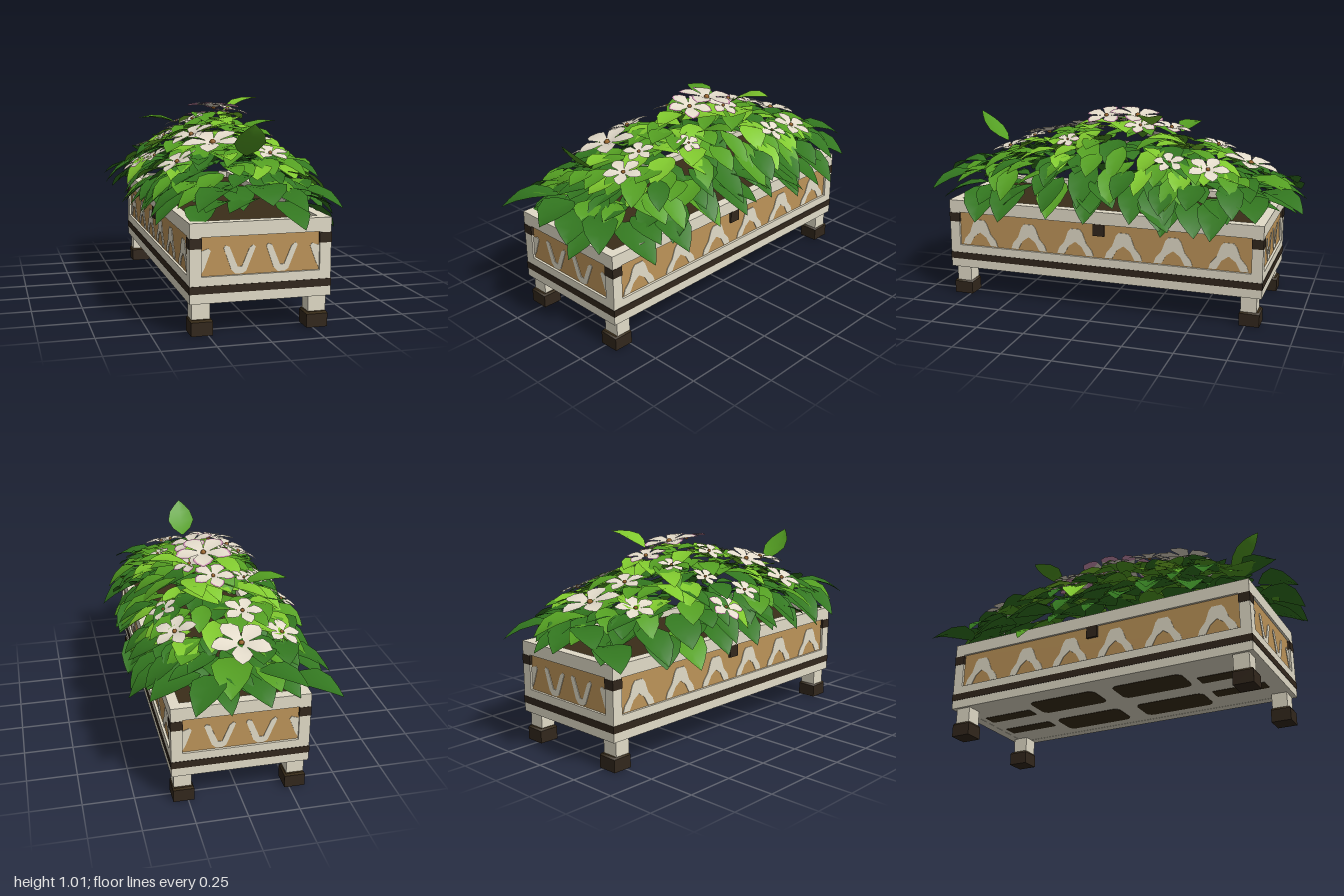
import * as THREE from 'three';
import { mergeGeometries } from 'three/addons/utils/BufferGeometryUtils.js';

const material = (name, color, side = THREE.FrontSide) => {
  const m = new THREE.MeshStandardMaterial({ color, side });
  m.name = name;
  return m;
};
const V = (x, y, z) => new THREE.Vector3(x, y, z);

// small seeded random generator
function makeRandom(seed) {
  return () => {
    seed = (seed * 16807) % 2147483647;
    return seed / 2147483647;
  };
}

// folded, arched blade from base to tip, built from cross-sections
const LEAF = [[0, 0.08], [0.18, 0.68], [0.42, 1], [0.68, 0.8], [0.86, 0.4], [1, 0]];
const PETAL = [[0, 0.12], [0.32, 0.62], [0.6, 1], [0.84, 0.66], [1, 0]];
const PETAL_TIP = [[0.55, 1.05], [0.66, 1.12], [0.86, 0.76], [1, 0]];
function blade(base, tip, halfWidth, stations = LEAF, bow = 0.08, fold = 0.2, up = V(0, 1, 0)) {
  const d = tip.clone().sub(base), len = d.length();
  const s = d.clone().cross(up).normalize();
  const n = s.clone().cross(d).normalize();
  const pos = [], index = [];
  stations.forEach(([t, w], i) => {
    for (const k of [-1, 0, 1]) {
      const p = base.clone().addScaledVector(d, t)
        .addScaledVector(n, bow * len * Math.sin(Math.PI * t) + Math.abs(k) * fold * w * halfWidth)
        .addScaledVector(s, k * w * halfWidth);
      pos.push(p.x, p.y, p.z);
    }
    if (i === 0) return;
    for (const k of [0, 1]) {
      const a = (i - 1) * 3 + k, b = i * 3 + k;
      index.push(a, a + 1, b + 1, a, b + 1, b);
    }
  });
  const g = new THREE.BufferGeometry();
  g.setAttribute('position', new THREE.Float32BufferAttribute(pos, 3));
  g.setIndex(index);
  g.computeVertexNormals();
  return g;
}

// rounded cushion outline of the foliage
const reach = (x, z) => Math.cbrt(Math.abs(x / 0.48) ** 3 + Math.abs(z / 1.0) ** 3);
const domeHeight = (x, z) => 0.55 + 0.4 * (1 - Math.min(1.1, reach(x, z)) ** 1.35);

export function createModel() {
  const model = new THREE.Group();
  model.name = 'flowerPlanter';
  const cream = material('creamPaint', 0xe2dcc8);
  const tan = material('tanPanel', 0xbd9459);
  const dark = material('darkWood', 0x32271c);
  const soilMat = material('soil', 0x3a2d19);
  const darkLeaf = material('darkGreenLeaf', 0x32761f, THREE.DoubleSide);
  const midLeaf = material('midGreenLeaf', 0x549f22, THREE.DoubleSide);
  const lightLeaf = material('lightGreenLeaf', 0x80c92e, THREE.DoubleSide);
  const petalMat = material('petalWhite', 0xe4dccb, THREE.DoubleSide);
  const pinkMat = material('petalPink', 0xd295b8, THREE.DoubleSide);
  const coreMat = material('flowerCentre', 0x9a6428);

  const planter = new THREE.Group();
  planter.name = 'planter';
  planter.position.set(-0.003, 0, 0.01);
  model.add(planter);
  const add = (name, geo, mat, parent = planter) => {
    const m = new THREE.Mesh(geo, mat);
    m.name = name;
    parent.add(m);
    return m;
  };
  const box = (name, mat, w, h, d, x, y, z) =>
    add(name, new THREE.BoxGeometry(w, h, d), mat).position.set(x, y, z);

  // rectangular hoop around the planter
  const HX = 0.335, HZ = 0.84;
  const hoop = (name, mat, y0, y1, grow, thick) => {
    const rect = (C, a, b) => {
      const p = new C();
      p.moveTo(-a, -b); p.lineTo(a, -b); p.lineTo(a, b); p.lineTo(-a, b); p.closePath();
      return p;
    };
    const a = HX + grow, b = HZ + grow;
    const shape = rect(THREE.Shape, a, b);
    shape.holes.push(rect(THREE.Path, a - thick, b - thick));
    const g = new THREE.ExtrudeGeometry(shape, { depth: y1 - y0, bevelEnabled: false });
    g.rotateX(-Math.PI / 2).translate(0, y0, 0);
    add(name, g, mat);
  };
  hoop('lowerFrame', cream, 0.152, 0.275, 0, 0.05);
  hoop('darkBand', dark, 0.197, 0.233, 0.002, 0.03);
  hoop('sidePanels', tan, 0.27, 0.46, -0.012, 0.03);
  hoop('upperRim', cream, 0.455, 0.52, 0, 0.05);
  box('floor', cream, 0.64, 0.02, 1.65, 0, 0.163, 0);
  box('soil', soilMat, 0.58, 0.03, 1.59, 0, 0.47, 0);

  // rounded vent plate for the underside
  const vent = (w, l, r) => {
    const s = new THREE.Shape();
    s.absarc(w - r, l - r, r, 0, Math.PI / 2);
    s.absarc(r - w, l - r, r, Math.PI / 2, Math.PI);
    s.absarc(r - w, r - l, r, Math.PI, Math.PI * 1.5);
    s.absarc(w - r, r - l, r, Math.PI * 1.5, Math.PI * 2);
    return new THREE.ExtrudeGeometry(s, { depth: 0.003, bevelEnabled: false, curveSegments: 4 }).rotateX(Math.PI / 2);
  };
  const wideVent = vent(0.085, 0.19, 0.035), slimVent = vent(0.04, 0.14, 0.01);

  // corner posts, brackets, legs, feet and vents
  for (const sx of [-1, 1]) for (const sz of [-1, 1]) {
    box('cornerPost', cream, 0.055, 0.2, 0.055, sx * (HX - 0.0275), 0.365, sz * (HZ - 0.0275));
    box('cornerBracket', dark, 0.058, 0.048, 0.058, sx * (HX - 0.0275), 0.427, sz * (HZ - 0.0275));
    box('leg', cream, 0.086, 0.1, 0.08, sx * 0.278, 0.11, sz * 0.775);
    box('foot', dark, 0.102, 0.064, 0.102, sx * 0.275, 0.032, sz * 0.78);
    const cap = new THREE.CylinderGeometry(0.064, 0.072, 0.01, 4);
    cap.rotateY(Math.PI / 4);
    add('footTop', cap, soilMat).position.set(sx * 0.275, 0.069, sz * 0.78);
    add('underVent', wideVent, soilMat).position.set(sx * 0.14, 0.154, sz * 0.24);
    add('underStrip', slimVent, soilMat).position.set(sx * 0.1, 0.154, sz * 0.62);
  }
  for (const sx of [-1, 1]) box('middleBracket', dark, 0.02, 0.062, 0.06, sx * (HX - 0.009), 0.425, 0);

  // painted zigzags on the panels
  const plate = points => new THREE.ExtrudeGeometry(
    new THREE.Shape(points.map(p => new THREE.Vector2(...p))), { depth: 0.004, bevelEnabled: false });
  const vee = x => plate([[x - 0.075, 0.4], [x - 0.067, 0.412], [x - 0.048, 0.405], [x - 0.01, 0.312],
    [x + 0.01, 0.312], [x + 0.045, 0.395], [x + 0.064, 0.41], [x + 0.075, 0.4],
    [x + 0.03, 0.29], [x + 0.012, 0.28], [x - 0.02, 0.28], [x - 0.04, 0.3]]);
  const arch = x => plate([[x - 0.1, 0.28], [x - 0.09, 0.31], [x - 0.06, 0.345], [x - 0.04, 0.4],
    [x - 0.025, 0.418], [x + 0.025, 0.418], [x + 0.04, 0.4], [x + 0.06, 0.345], [x + 0.09, 0.31],
    [x + 0.1, 0.28], [x + 0.06, 0.28], [x + 0.035, 0.325], [x, 0.35], [x - 0.035, 0.325], [x - 0.06, 0.28]]);
  const endStroke = s => {
    const pts = [[0.28, 0.285], [0.28, 0.39], [0.245, 0.402], [0.235, 0.39], [0.265, 0.31]].map(([x, y]) => [s * x, y]);
    return plate(s < 0 ? pts.reverse() : pts);
  };
  const endPaint = mergeGeometries([vee(-0.1), vee(0.1), endStroke(-1), endStroke(1)]);
  const sidePaint = mergeGeometries([-0.67, -0.39, -0.13, 0.13, 0.39, 0.67].map(arch));
  for (const i of [0, 1]) {
    const end = add('endZigzag', endPaint, cream);
    end.rotation.y = i * Math.PI;
    end.position.z = (i ? -1 : 1) * (HZ - 0.013);
    const side = add('sideZigzag', sidePaint, cream);
    side.rotation.y = (i ? -1 : 1) * Math.PI / 2;
    side.position.x = (i ? -1 : 1) * (HX - 0.013);
  }

  // foliage
  const plant = new THREE.Group();
  plant.name = 'plant';
  model.add(plant);
  const rand = makeRandom(4711);
  const spread = a => (rand() * 2 - 1) * a;
  const leaves = { dark: [], mid: [], light: [] };

  // hanging outer leaves, by tip position seen from above
  const tips = [[-0.47, -0.9], [-0.5, -0.63], [-0.3, -0.9], [-0.1, -0.98], [0.08, -0.95], [0.25, -1], [0.42, -0.8],
    [0.49, -0.6], [0.46, -0.35], [0.42, -0.18], [0.45, 0.05], [0.45, 0.25], [0.48, 0.5], [0.42, 0.66],
    [0.35, 0.94], [0.17, 0.98], [0, 1], [-0.33, 0.98], [-0.38, 0.8], [-0.48, 0.68], [-0.49, 0.52],
    [-0.45, 0.37], [-0.44, 0.2], [-0.47, 0.04], [-0.46, -0.17], [-0.45, -0.36]];
  tips.forEach(([x, z], i) => {
    const out = V(x * 0.9, 0, z - THREE.MathUtils.clamp(z, -0.72, 0.72)).normalize();
    const atEnd = Math.abs(z) > 0.75;
    const tip = V(x, (atEnd ? 0.58 : 0.48) + spread(0.06), z);
    const base = tip.clone().addScaledVector(out, -0.26).add(V(0, atEnd ? 0.06 : 0.14, spread(0.06)));
    leaves[i % 7 === 4 ? 'mid' : 'dark'].push(blade(base, tip, 0.088 + spread(0.012), LEAF, 0.12));
  });

  // layers of leaves over the cushion: [count, drop, length, half width]
  for (const [count, drop, size, width] of [[70, 0.1, 0.23, 0.08], [150, 0.01, 0.18, 0.06]]) {
    for (let i = 0; i < count; i++) {
      const r = 0.95 * Math.sqrt((i + 0.5) / count), a = i * 2.39996;
      const c = Math.cos(a), s = Math.sin(a);
      const x = Math.sign(c) * Math.abs(c) ** 0.7 * r * 0.34;
      const z = Math.sign(s) * Math.abs(s) ** 0.7 * r * 0.8;
      // free direction in the middle, outward near the rim
      const dir = Math.atan2(z * 0.6, x * 1.3) + spread(r < 0.5 ? 3.1 : 1);
      const l = size * (1 + spread(0.2));
      const tx = THREE.MathUtils.clamp(x + Math.cos(dir) * l, -0.47, 0.47);
      const tz = THREE.MathUtils.clamp(z + Math.sin(dir) * l, -0.97, 0.97);
      const baseY = domeHeight(x, z) - drop - 0.015 + spread(0.02);
      const tipY = THREE.MathUtils.lerp(domeHeight(tx, tz) - drop, baseY, 0.3) + spread(0.04);
      const pick = rand() + (drop > 0.05 ? 0.6 : 0) + r * 0.65;
      leaves[pick > 1.2 ? 'dark' : pick > 0.65 ? 'mid' : 'light']
        .push(blade(V(x, baseY, z), V(tx, tipY, tz), width * (1 + spread(0.2))));
    }
  }

  // leaves standing out from the cushion
  leaves.mid.push(blade(V(-0.02, 0.79, 0.66), V(-0.03, 0.95, 0.82), 0.075, LEAF, -0.08),
    blade(V(0.1, 0.83, 0.06), V(0.33, 0.9, 0.04), 0.07),
    blade(V(-0.14, 0.87, -0.3), V(-0.35, 0.9, -0.34), 0.06));
  leaves.light.push(blade(V(0.1, 0.94, -0.2), V(0.32, 1.01, -0.24), 0.065));

  add('darkLeaves', mergeGeometries(leaves.dark), darkLeaf, plant);
  add('midLeaves', mergeGeometries(leaves.mid), midLeaf, plant);
  add('lightLeaves', mergeGeometries(leaves.light), lightLeaf, plant);

  // five-petalled flowers: x, z, radius, pink edge
  const flowers = [[-0.03, -0.69, 0.15, 0], [-0.25, -0.6, 0.1, 0], [-0.08, -0.51, 0.1, 0], [0.25, -0.53, 0.11, 0],
    [0.27, -0.34, 0.08, 0], [0.01, -0.28, 0.1, 1], [-0.15, -0.26, 0.07, 0], [-0.39, -0.12, 0.09, 1],
    [-0.25, -0.12, 0.07, 0], [0.02, -0.1, 0.14, 1], [0.05, 0.06, 0.11, 1], [-0.13, 0.04, 0.08, 0],
    [-0.34, 0.08, 0.08, 0], [-0.19, 0.27, 0.12, 0], [0.2, 0.22, 0.06, 1], [-0.3, 0.44, 0.11, 0],
    [-0.13, 0.46, 0.15, 0], [0.09, 0.45, 0.08, 0], [0.12, 0.58, 0.1, 0], [0.1, -0.14, 0.08, 1]];
  const petals = [], edges = [], cores = [];
  for (const [x, z, radius, pink] of flowers) {
    const e = 0.03;
    const normal = V(0.6 * (domeHeight(x - e, z) - domeHeight(x + e, z)) / (2 * e), 1,
      0.6 * (domeHeight(x, z - e) - domeHeight(x, z + e)) / (2 * e)).normalize();
    const centre = V(x, domeHeight(x, z) + 0.035, z);
    const u = V(0, 0, 1).cross(normal).normalize(), v = normal.clone().cross(u);
    const turn = rand() * 6;
    for (let k = 0; k < 5; k++) {
      const a = turn + k * Math.PI * 0.4;
      const ray = u.clone().multiplyScalar(Math.cos(a)).addScaledVector(v, Math.sin(a)).addScaledVector(normal, 0.08);
      const petal = (scale, lift, stations) => blade(centre.clone().addScaledVector(normal, lift),
        centre.clone().addScaledVector(ray, radius * scale).addScaledVector(normal, lift),
        radius * 0.33, stations, 0.06, 0.12, normal);
      petals.push(petal(1, 0, PETAL));
      if (pink) edges.push(petal(1.07, -0.003, PETAL_TIP));
    }
    const core = new THREE.SphereGeometry(radius * 0.1, 8, 5);
    const c = centre.clone().addScaledVector(normal, 0.006);
    cores.push(core.translate(c.x, c.y, c.z));
  }
  add('petals', mergeGeometries(petals), petalMat, plant);
  add('petalEdges', mergeGeometries(edges), pinkMat, plant);
  add('flowerCentres', mergeGeometries(cores), coreMat, plant);
  return model;
}
